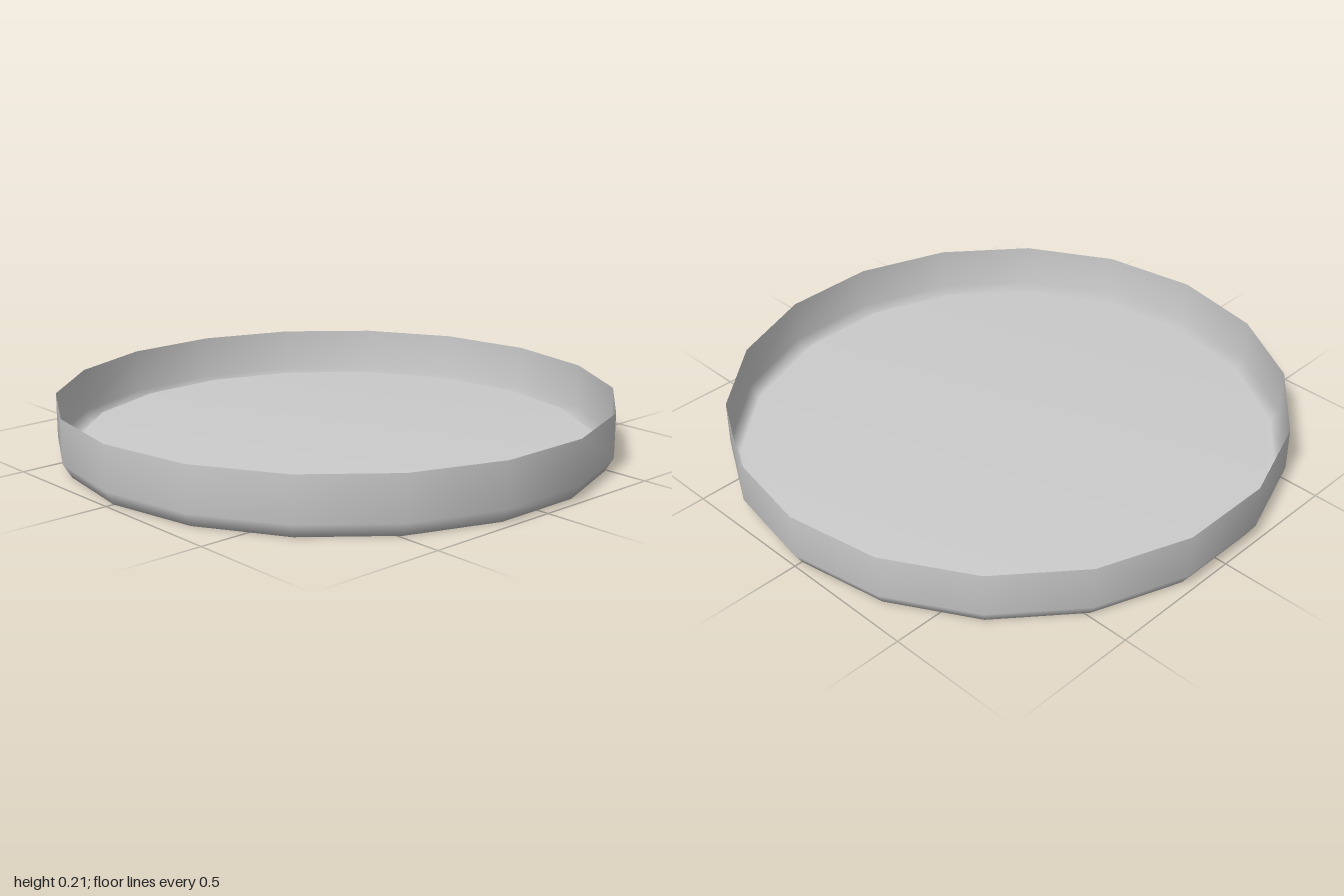
import * as THREE from 'three';

export function createModel() {
  const group = new THREE.Group();
  group.name = 'shallowDish';

  // Thin pressed sheet: raised flat floor, foot ridge, bevel, upright wall
  const profile = [
    [0, 0.05],
    [0.93, 0.05],
    [0.97, 0],
    [1, 0.05],
    [1, 0.21],
  ].map(([r, y]) => new THREE.Vector2(r, y));

  // 18 sides, with a corner on the x axis
  const geometry = new THREE.LatheGeometry(profile, 18, Math.PI / 2);
  const material = new THREE.MeshStandardMaterial({ color: 0xcccccc, side: THREE.DoubleSide });
  const dish = new THREE.Mesh(geometry, material);
  dish.name = 'dish';
  group.add(dish);

  return group;
}
